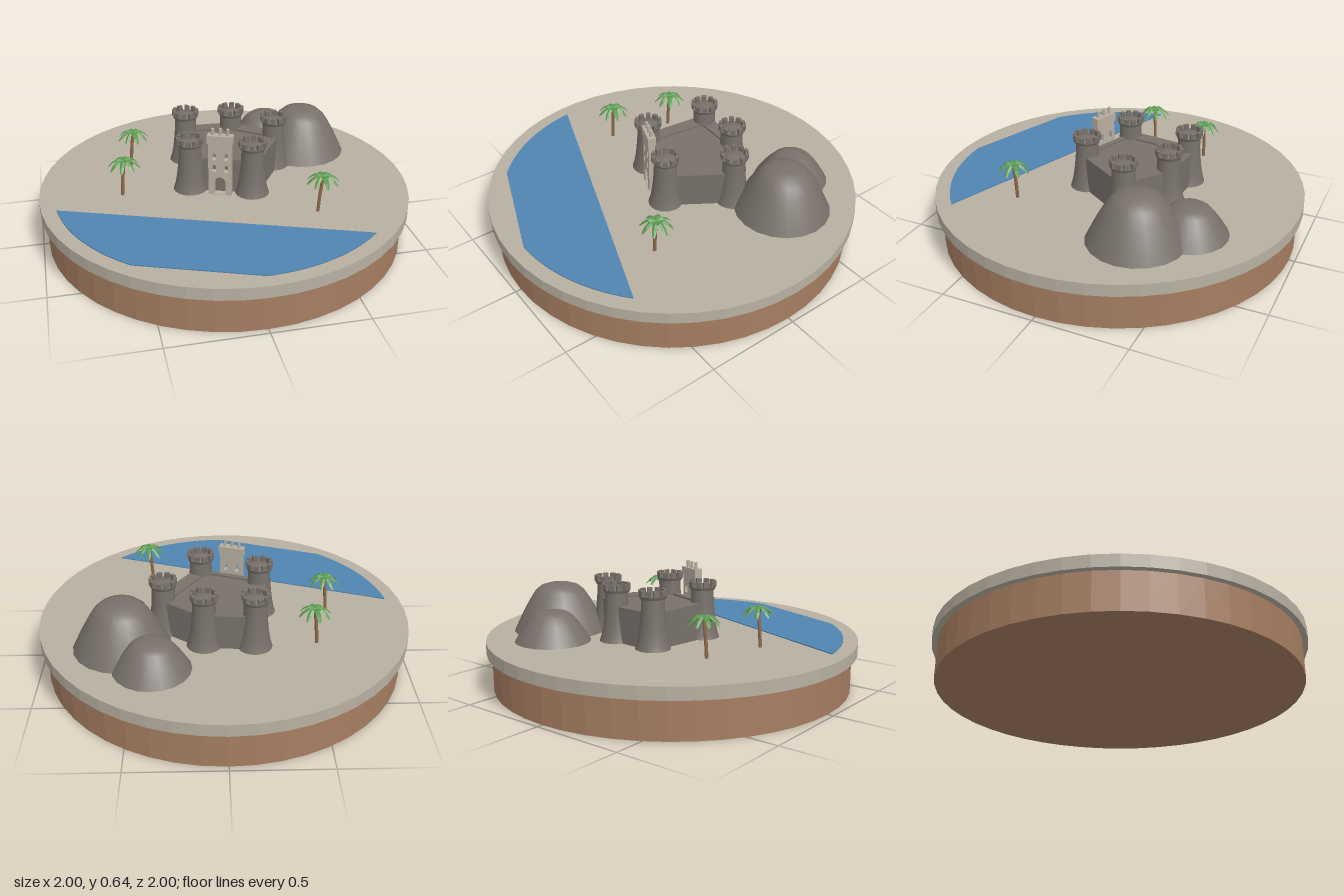
import * as THREE from 'three';

const mat = (name, color, opts = {}) => {
  const m = new THREE.MeshStandardMaterial({ color, ...opts });
  m.name = name;
  return m;
};
const GROUND = 0.265;

export function createModel() {
  const root = new THREE.Group();
  const sand = mat('sand', 0xb8b0a1, { flatShading: true });
  const earth = mat('earth', 0xa67e61, { flatShading: true });
  const stone = mat('stone', 0x78716a);
  const wallStone = mat('wallStone', 0x78716a, { flatShading: true });
  const paleStone = mat('paleStone', 0xb8b0a1);
  const water = mat('water', 0x4f84b0);
  const bark = mat('bark', 0x8f6a4c);
  const leafGreen = mat('leafGreen', 0x5c9a50, { side: THREE.DoubleSide, flatShading: true });

  const add = (parent, name, geo, material, x = 0, y = 0, z = 0) => {
    const m = new THREE.Mesh(geo, material);
    m.name = name;
    m.position.set(x, y, z);
    parent.add(m);
    return m;
  };
  const group = (name, x = 0, y = 0, z = 0) => {
    const g = new THREE.Group();
    g.name = name;
    g.position.set(x, y, z);
    root.add(g);
    return g;
  };
  const lathe = (pts, seg) => new THREE.LatheGeometry(pts.map(p => new THREE.Vector2(...p)), seg);
  // Plan outline (x, z) raised into a slab
  const slab = (pts, depth) => {
    const s = new THREE.Shape(pts.map(([x, z]) => new THREE.Vector2(x, -z)));
    return new THREE.ExtrudeGeometry(s, { depth, bevelEnabled: false }).rotateX(-Math.PI / 2);
  };

  // Round island base
  add(root, 'earthBase', new THREE.CylinderGeometry(0.97, 0.97, 0.2, 48), earth, 0, 0.1, 0);
  add(root, 'sandDisc', new THREE.CylinderGeometry(1, 1, 0.065, 48), sand, 0, 0.2325, 0);

  // Lake: two shore arcs joined by straight edges
  const shore = [];
  const arc = (a, b) => {
    for (let i = 0; i <= 10; i++) {
      const t = a + (b - a) * i / 10;
      shore.push([0.922 * Math.cos(t), 0.922 * Math.sin(t)]);
    }
  };
  arc(0.833, Math.PI / 2);
  arc(2.275, 3.007);
  add(root, 'lake', slab(shore, 0.005), water, 0, GROUND, 0);

  // Rock domes
  const rock = (name, x, z, r, h) => add(root, name, lathe([
    [r, 0], [r * 0.93, h * 0.14], [r * 0.82, h * 0.36], [r * 0.67, h * 0.62], [r * 0.53, h * 0.83],
    [r * 0.4, h * 0.94], [r * 0.22, h * 0.99], [0, h],
  ], 20), stone, x, GROUND, z);
  rock('largeRock', 0.53, -0.33, 0.255, 0.262);
  rock('smallRock', 0.37, -0.54, 0.2, 0.16);

  // Castle towers
  const towers = [[-0.15, -0.34], [0.11, -0.325], [0.32, -0.165], [0.125, 0.135], [-0.19, 0.02]];
  const shaft = lathe([[0.092, 0], [0.082, 0.03], [0.073, 0.08], [0.066, 0.14], [0.061, 0.2], [0.059, 0.262]], 20);
  const roof = lathe([[0.054, 0], [0.045, 0.006], [0.025, 0.011], [0, 0.013]], 20);
  const tooth = new THREE.BoxGeometry(0.018, 0.03, 0.026);
  towers.forEach(([x, z]) => {
    const t = group('tower', x, GROUND, z);
    add(t, 'towerShaft', shaft, stone);
    add(t, 'towerLedge', new THREE.CylinderGeometry(0.073, 0.066, 0.016, 20), stone, 0, 0.267, 0);
    add(t, 'towerRoof', roof, stone, 0, 0.275, 0);
    for (let i = 0; i < 10; i++) {
      const a = i * Math.PI / 5;
      add(t, 'battlement', tooth, stone, 0.064 * Math.cos(a), 0.289, 0.064 * Math.sin(a)).rotation.y = -a;
    }
  });

  // Curtain walls and courtyard
  towers.forEach(([x, z], i) => {
    const [x2, z2] = towers[(i + 1) % towers.length];
    const thick = i === 3 ? 0.03 : 0.075;
    const w = add(root, 'curtainWall', new THREE.BoxGeometry(Math.hypot(x2 - x, z2 - z), 0.19, thick),
      wallStone, (x + x2) / 2, GROUND + 0.095, (z + z2) / 2);
    w.rotation.y = -Math.atan2(z2 - z, x2 - x);
  });
  add(root, 'courtyard', slab(towers, 0.18), wallStone, 0, GROUND, 0);

  // Gatehouse with arched openings
  const gate = group('gatehouse', -0.042, GROUND, 0.108);
  gate.rotation.y = -0.364;
  const front = new THREE.Shape([[-0.062, 0], [0.062, 0], [0.062, 0.3], [-0.062, 0.3]]
    .map(p => new THREE.Vector2(...p)));
  const arch = (x, y, hw, h) => {
    const p = new THREE.Path();
    p.moveTo(x - hw, y);
    p.lineTo(x - hw, y + h);
    p.absarc(x, y + h, hw, Math.PI, 0, true);
    p.lineTo(x + hw, y);
    p.closePath();
    front.holes.push(p);
  };
  arch(0, 0.004, 0.03, 0.07);
  for (const y of [0.135, 0.205]) for (const x of [-0.032, 0.032]) arch(x, y, 0.011, 0.03);
  add(gate, 'gateWall', new THREE.ExtrudeGeometry(front, { depth: 0.035, bevelEnabled: false, curveSegments: 6 }),
    paleStone, 0, 0, -0.0075);
  add(gate, 'gateParapet', new THREE.BoxGeometry(0.136, 0.045, 0.044), paleStone, 0, 0.3225, 0.01);
  for (const x of [-0.04, 0, 0.04]) {
    add(gate, 'gatePost', new THREE.CylinderGeometry(0.009, 0.009, 0.036, 8), paleStone, x, 0.362, 0.01);
  }

  // Palm frond: a drooping ridged strip tapering to its tip
  const frond = () => {
    const pos = [], idx = [];
    [[0.004, 0.0, 0.007], [0.035, 0.008, 0.013], [0.062, -0.01, 0.012], [0.085, -0.038, 0.006]]
      .forEach(([r, y, w], i) => {
        pos.push(r, y - w * 0.6, -w, r, y, 0, r, y - w * 0.6, w);
        if (i) {
          for (const k of [0, 1]) {
            const a = i * 3 - 3 + k;
            idx.push(a, a + 1, a + 3, a + 1, a + 4, a + 3);
          }
        }
      });
    const g = new THREE.BufferGeometry();
    g.setAttribute('position', new THREE.Float32BufferAttribute(pos, 3));
    g.setIndex(idx);
    g.computeVertexNormals();
    return g;
  };
  const leaf = frond();
  [[-0.455, -0.32], [-0.543, 0.02], [0.425, 0.41]].forEach(([x, z], n) => {
    const palm = group('palm', x, GROUND, z);
    const path = new THREE.CatmullRomCurve3([
      new THREE.Vector3(-0.018, 0, 0), new THREE.Vector3(-0.011, 0.1, 0), new THREE.Vector3(0, 0.2, 0),
    ]);
    add(palm, 'palmTrunk', new THREE.TubeGeometry(path, 6, 0.009, 8), bark);
    for (let i = 0; i < 8; i++) {
      add(palm, 'palmFrond', leaf, leafGreen, 0, 0.204, 0).rotation.y = i * Math.PI / 4 + 0.2 + n * 0.3;
    }
  });
  return root;
}
